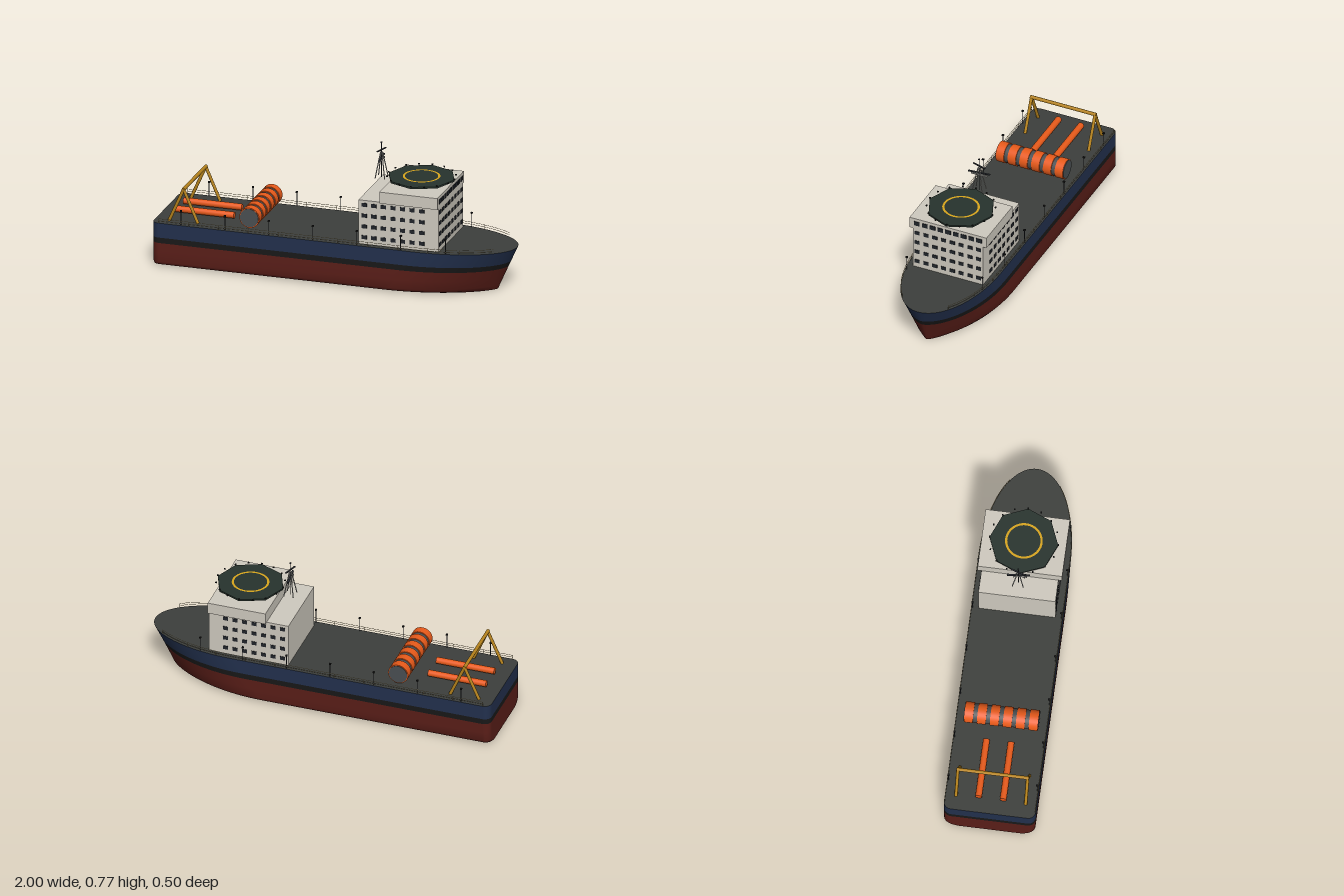
import * as THREE from 'three';

const V = (x, y, z) => new THREE.Vector3(x, y, z);
const mat = (color) => new THREE.MeshStandardMaterial({ color });
const M = {
  blue: mat(0x22304d), black: mat(0x181818), red: mat(0x5a1e18), deck: mat(0x3d3f3c),
  house: mat(0xcfcabf), glass: mat(0x20242a), orange: mat(0xe85a1a), gold: mat(0xb8841c),
  pad: mat(0x27332d), yellow: mat(0xd8a51c), grey: mat(0x4a4f52), mast: mat(0xa9a9a4),
  dark: mat(0x2a2d33), rail: mat(0xb0a27a),
};
const DECK = 0.25;

function add(parent, name, geo, material, x = 0, y = 0, z = 0) {
  const mesh = new THREE.Mesh(geo, material);
  mesh.name = name;
  mesh.position.set(x, y, z);
  parent.add(mesh);
  return mesh;
}
const box = (p, name, m, w, h, d, x, y, z) => add(p, name, new THREE.BoxGeometry(w, h, d), m, x, y, z);

// Straight round bar between two points
function bar(parent, name, m, a, b, r, sides = 8) {
  const dir = b.clone().sub(a);
  const mesh = add(parent, name, new THREE.CylinderGeometry(r, r, dir.length(), sides), m);
  mesh.position.copy(a).add(b).multiplyScalar(0.5);
  mesh.quaternion.setFromUnitVectors(V(0, 1, 0), dir.normalize());
  return mesh;
}

function group(parent, name) {
  const g = new THREE.Group();
  g.name = name;
  parent.add(g);
  return g;
}

// Closed plan outline of the hull at height y, half width w
const BOW_START = 0.48;
function outline(y, w) {
  const t = y / DECK, start = 0.3 + (BOW_START - 0.3) * t, tip = 0.89 + 0.11 * t;
  const sharp = 1.5 - 0.5 * t, r = 0.04, side = [];
  for (let i = 0; i <= 6; i++) {
    const a = (i / 6) * Math.PI / 2;
    side.push(V(-1 + r - r * Math.cos(a), y, w - r + r * Math.sin(a)));
  }
  for (let i = 0; i <= 28; i++) {
    const a = (i / 28) * Math.PI / 2;
    side.push(V(start + (tip - start) * Math.sin(a), y, w * Math.pow(Math.max(0, Math.cos(a)), sharp)));
  }
  const mirrored = side.slice(0, -1).reverse().map((p) => V(p.x, p.y, -p.z));
  return [...side, ...mirrored];
}

function indexed(points, index) {
  const g = new THREE.BufferGeometry().setFromPoints(points);
  g.setIndex(index);
  g.computeVertexNormals();
  return g;
}

// Skin between stacked outlines
function band(levels) {
  const rings = levels.map(([y, w]) => outline(y, w)), n = rings[0].length, index = [];
  for (let k = 0; k < rings.length - 1; k++) {
    for (let i = 0; i < n; i++) {
      const a = k * n + i, b = k * n + (i + 1) % n;
      index.push(a, b, b + n, a, b + n, a + n);
    }
  }
  return indexed(rings.flat(), index);
}

// Flat fan closing an outline
function cap(y, w, up) {
  const ring = outline(y, w), n = ring.length, index = [];
  for (let i = 0; i < n; i++) {
    const j = (i + 1) % n;
    index.push(n, up ? i : j, up ? j : i);
  }
  return indexed([...ring, V(0, y, 0)], index);
}

// Half width of the deck at position x
function deckHalf(x) {
  const u = Math.max(0, (x - BOW_START) / (1 - BOW_START));
  return 0.25 * Math.sqrt(1 - u * u);
}

function buildHull(ship) {
  const hull = group(ship, 'hull');
  add(hull, 'lowerHull', band([[0, 0.21], [0.01, 0.236], [0.028, 0.249], [0.08, 0.25], [0.136, 0.25]]), M.red);
  add(hull, 'waterlineBand', band([[0.136, 0.25], [0.167, 0.25]]), M.black);
  add(hull, 'upperHull', band([[0.167, 0.25], [0.21, 0.25], [DECK, 0.25]]), M.blue);
  add(hull, 'hullBottom', cap(0, 0.21, false), M.red);
  add(hull, 'deck', cap(DECK, 0.25, true), M.deck);
}

function buildHouse(ship) {
  const house = group(ship, 'deckhouse');
  box(house, 'accommodationBlock', M.house, 0.455, 0.25, 0.42, 0.3925, 0.375, 0);
  box(house, 'bridge', M.house, 0.33, 0.065, 0.46, 0.455, 0.5325, 0);
  const windows = group(house, 'windows');
  for (const y of [0.288, 0.35, 0.412, 0.474]) {
    for (let i = 0; i < 8; i++) {
      box(windows, 'frontWindow', M.glass, 0.006, 0.021, 0.029, 0.62, y, (i - 3.5) * 0.0525);
    }
    for (let i = 0; i < 7; i++) {
      for (const s of [-1, 1]) {
        box(windows, 'sideWindow', M.glass, 0.029, 0.021, 0.006, 0.198 + i * 0.0545, y, s * 0.21);
      }
    }
  }
  for (let i = 0; i < 9; i++) {
    box(windows, 'bridgeWindow', M.glass, 0.006, 0.025, 0.033, 0.62, 0.535, (i - 4) * 0.0464);
  }
}

function buildHelideck(ship) {
  const pad = group(ship, 'helideck');
  pad.position.set(0.455, 0, 0);
  add(pad, 'landingPad', new THREE.CylinderGeometry(0.187, 0.187, 0.01, 8), M.pad, 0, 0.591, 0);
  const ring = add(pad, 'landingRing', new THREE.RingGeometry(0.09, 0.102, 48), M.yellow, 0, 0.5975, 0);
  ring.rotation.x = -Math.PI / 2;
  for (let i = 0; i < 16; i++) {
    const a = (i / 16) * Math.PI * 2;
    box(pad, 'edgeLight', M.black, 0.008, 0.006, 0.008, 0.187 * Math.sin(a), 0.6, 0.187 * Math.cos(a));
  }
}

function buildMast(ship) {
  const mast = group(ship, 'mast');
  mast.position.set(0.227, 0, 0);
  for (const sx of [-1, 1]) {
    for (const sz of [-1, 1]) {
      bar(mast, 'mastLeg', M.mast, V(sx * 0.027, 0.565, sz * 0.03), V(sx * 0.004, 0.71, sz * 0.005), 0.003);
    }
  }
  bar(mast, 'mastPole', M.dark, V(0, 0.565, 0), V(0, 0.765, 0), 0.002);
  box(mast, 'crossTree', M.mast, 0.008, 0.007, 0.094, 0, 0.665, 0);
  box(mast, 'lowerScanner', M.dark, 0.01, 0.005, 0.125, 0, 0.678, 0).rotation.y = 0.1;
  box(mast, 'upperScanner', M.dark, 0.008, 0.005, 0.084, 0, 0.723, 0).rotation.y = -0.3;
  box(mast, 'mastLight', M.dark, 0.008, 0.006, 0.008, 0, 0.766, 0);
}

function buildDeckGear(ship) {
  // A-frame gantry over the stern
  const gantry = group(ship, 'sternGantry');
  for (const s of [-1, 1]) {
    for (const x of [-0.92, -0.755]) {
      bar(gantry, 'gantryLeg', M.gold, V(x, DECK, s * 0.19), V(-0.837, 0.438, s * 0.19), 0.009);
    }
  }
  bar(gantry, 'gantryBeam', M.gold, V(-0.837, 0.438, -0.197), V(-0.837, 0.438, 0.197), 0.01);

  // Long floats lying on the deck
  for (const s of [-1, 1]) {
    bar(ship, 'deckFloat', M.orange, V(-0.92, 0.275, s * 0.067), V(-0.588, 0.275, s * 0.067), 0.018, 20);
  }

  // Hose drum with its wound sections
  const drum = group(ship, 'hoseDrum');
  bar(drum, 'drumCore', M.grey, V(-0.46, 0.32, -0.203), V(-0.46, 0.32, 0.203), 0.052, 32);
  for (let i = 0; i < 6; i++) {
    const z = (i - 2.5) * 0.0705;
    bar(drum, 'hoseWinding', M.orange, V(-0.46, 0.32, z - 0.024), V(-0.46, 0.32, z + 0.024), 0.057, 32);
  }
}

function buildRails(ship) {
  const rails = group(ship, 'railings');
  for (const s of [-1, 1]) {
    const at = (x, y) => V(x, y, s * (deckHalf(x) - 0.003));
    for (const y of [0.263, 0.275]) {
      const pts = [];
      for (let i = 0; i <= 40; i++) pts.push(at(-0.96 + i * 0.04675, y));
      add(rails, 'rail', new THREE.TubeGeometry(new THREE.CatmullRomCurve3(pts), 80, 0.0012, 5), M.rail);
    }
    for (let i = 0; i <= 11; i++) {
      const x = -0.96 + i * 0.17;
      bar(rails, 'railPost', M.rail, at(x, DECK), at(x, 0.275), 0.0012, 5);
    }
    // Deck lamps
    for (let i = 0; i < 7; i++) {
      const x = -0.835 + i * 0.25, z = s * (deckHalf(x) - 0.008);
      bar(rails, 'lampPost', M.dark, V(x, DECK, z), V(x, 0.33, z), 0.002, 6);
      box(rails, 'lampHead', M.black, 0.01, 0.007, 0.012, x, 0.331, z);
    }
  }
}

export function createModel() {
  const ship = new THREE.Group();
  ship.name = 'ship';
  buildHull(ship);
  buildHouse(ship);
  buildHelideck(ship);
  buildMast(ship);
  buildDeckGear(ship);
  buildRails(ship);
  return ship;
}
